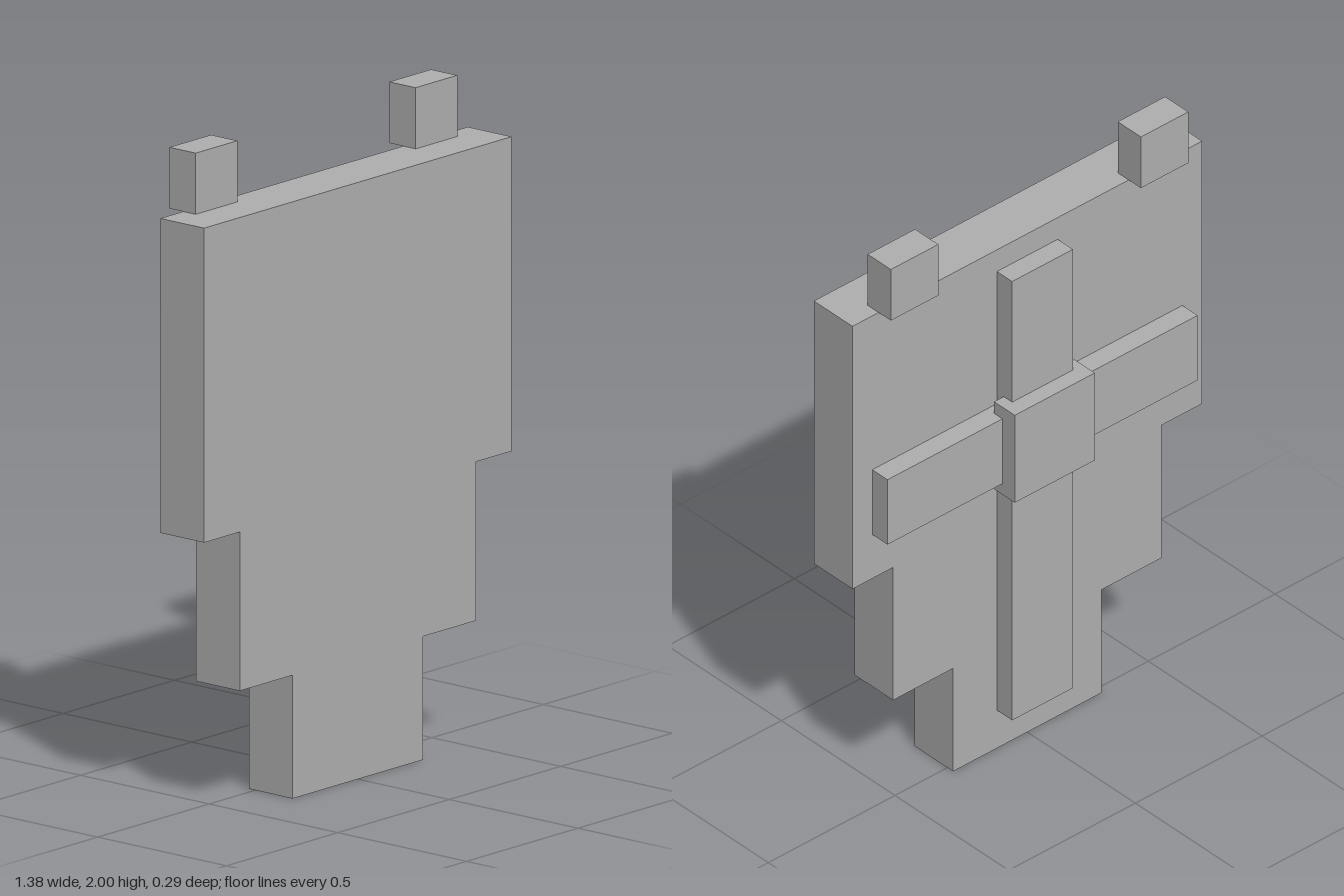
import * as THREE from 'three';

export function createModel() {
  const model = new THREE.Group();
  const stone = new THREE.MeshStandardMaterial({ color: 0xb0b0b0 });
  stone.name = 'plainGrey';

  const add = (name, geometry) => {
    const mesh = new THREE.Mesh(geometry, stone);
    mesh.name = name;
    model.add(mesh);
    return mesh;
  };

  // Box given by its lower and upper limits on each axis
  const box = (name, [x0, x1], [y0, y1], [z0, z1]) =>
    add(name, new THREE.BoxGeometry(x1 - x0, y1 - y0, z1 - z0))
      .position.set((x0 + x1) / 2, (y0 + y1) / 2, (z0 + z1) / 2);

  // Stepped shield plate: right half of the outline, mirrored
  const half = [[0.293, 0], [0.293, 0.375], [0.53, 0.375], [0.53, 0.858], [0.69, 0.858], [0.69, 1.814]];
  const outline = [...half, ...half.map(([x, y]) => [-x, y]).reverse()];
  const shape = new THREE.Shape(outline.map(([x, y]) => new THREE.Vector2(x, y)));
  add('shieldPlate', new THREE.ExtrudeGeometry(shape, { depth: 0.17, bevelEnabled: false }))
    .position.z = -0.025;

  // Square lugs on the top edge
  box('leftLug', [0.4, 0.587], [1.814, 2], [-0.079, 0.023]);
  box('rightLug', [-0.587, -0.4], [1.814, 2], [-0.079, 0.023]);

  // Crossed braces on the back with a raised hub
  box('uprightBrace', [-0.12, 0.12], [0.138, 1.735], [-0.092, -0.025]);
  box('crossBrace', [-0.612, 0.612], [1.018, 1.254], [-0.092, -0.025]);
  box('braceHub', [-0.158, 0.158], [0.978, 1.296], [-0.146, -0.055]);

  return model;
}
